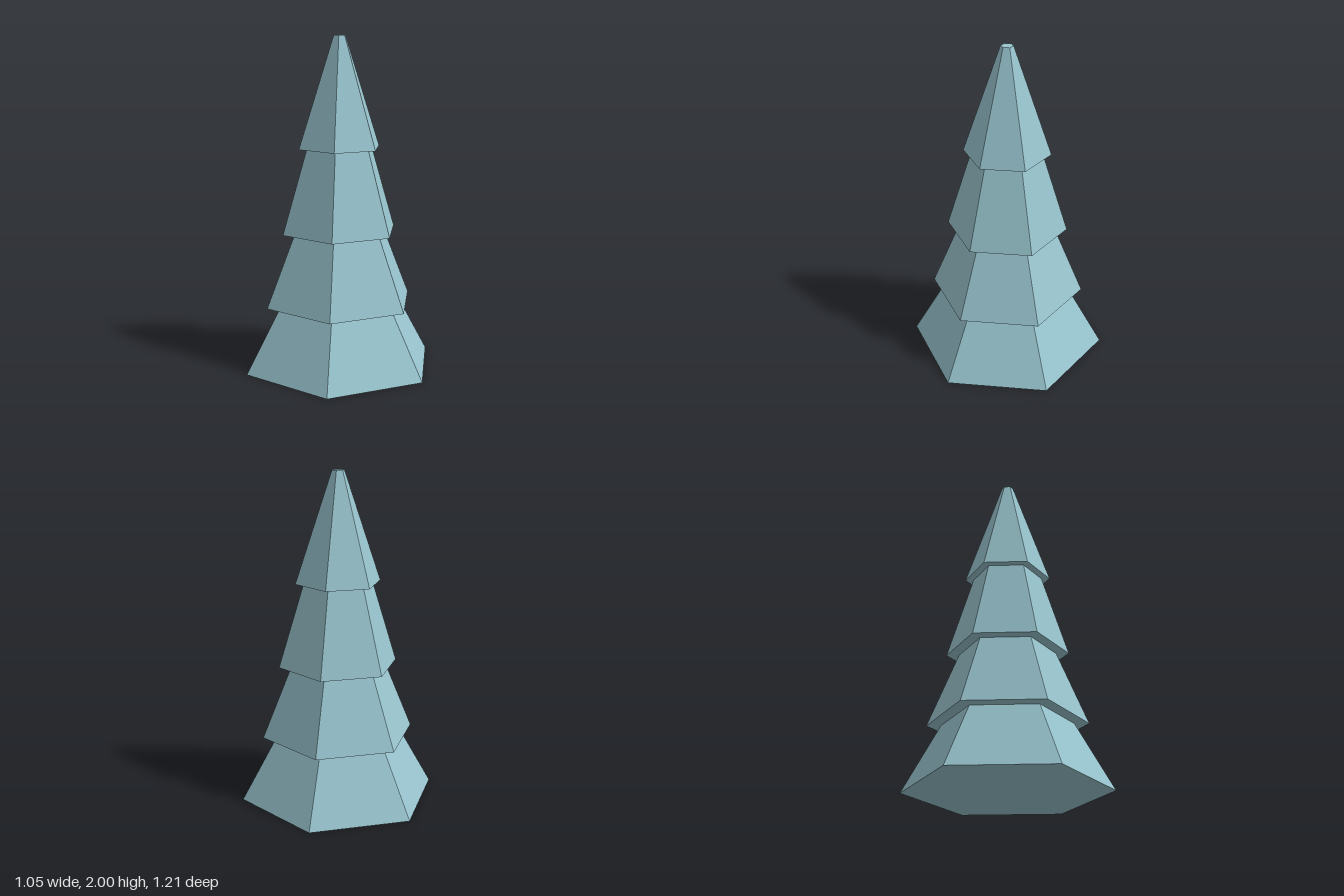
import * as THREE from 'three';

// Each tier: base height, base radius, top height, top radius
const TIERS = [
  [0, 0.605, 0.395, 0.385],
  [0.395, 0.47, 0.835, 0.29],
  [0.835, 0.365, 1.34, 0.21],
  [1.34, 0.26, 2, 0.037],
];

export function createModel() {
  const model = new THREE.Group();
  model.name = 'tree';

  const foliage = new THREE.MeshStandardMaterial({ color: 0x98c4ce, flatShading: true });
  foliage.name = 'pale teal foliage';

  // One closed stepped profile: sloping tiers joined by flat overhangs
  const profile = [new THREE.Vector2(0, 0)];
  for (const [y0, r0, y1, r1] of TIERS) {
    profile.push(new THREE.Vector2(r0, y0), new THREE.Vector2(r1, y1));
  }
  profile.push(new THREE.Vector2(0, 2));

  // Six sides, with corners on the z axis
  const branches = new THREE.Mesh(new THREE.LatheGeometry(profile, 6), foliage);
  branches.name = 'tieredBranches';
  model.add(branches);

  return model;
}
